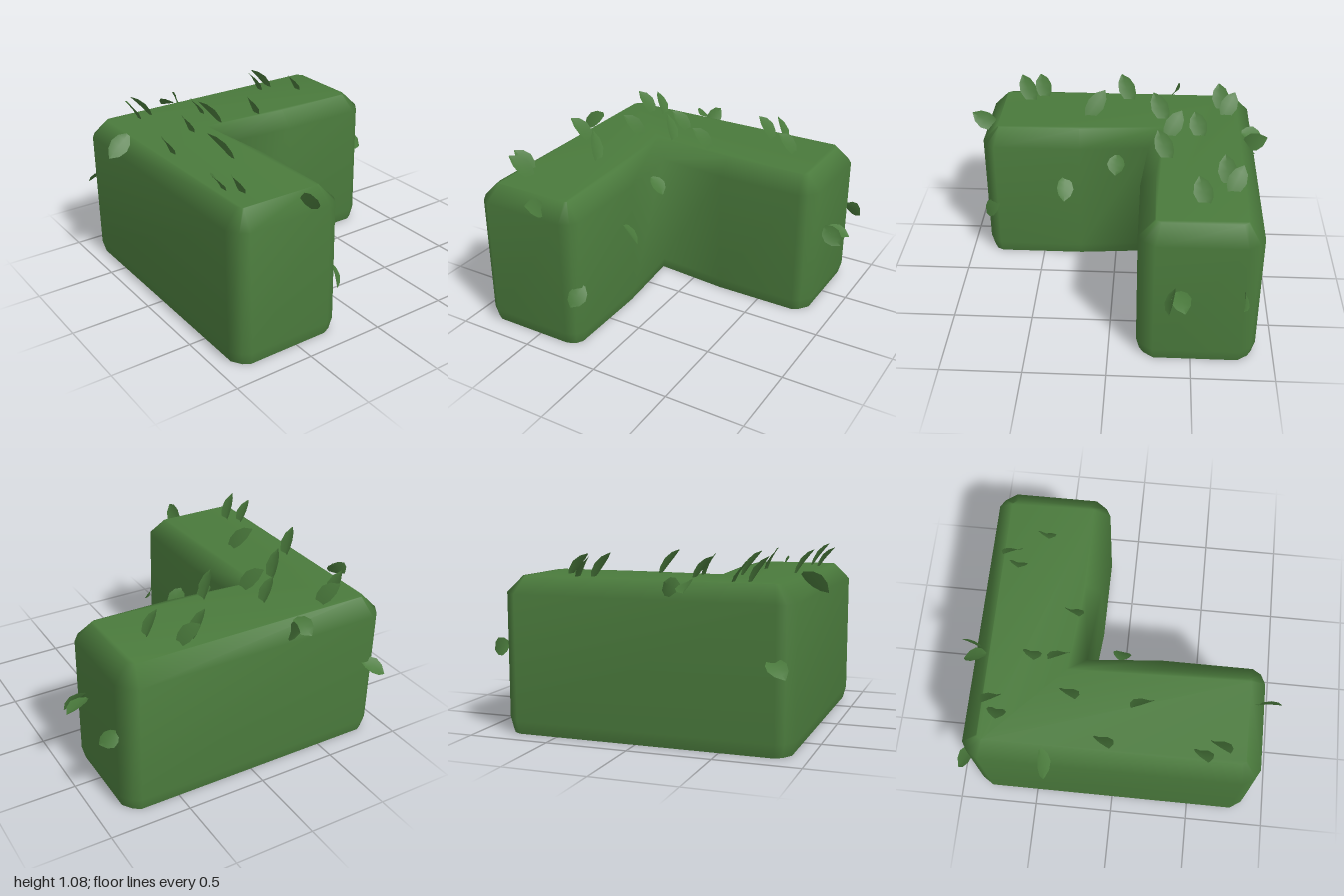
import * as THREE from 'three';

const hedgeGreen = new THREE.MeshStandardMaterial({ color: 0x4a7a3c, side: THREE.DoubleSide });
hedgeGreen.name = 'hedge green';

// L-shaped footprint (x, z)
const outline = [
  [-0.89, -0.75], [-0.86, -0.80], [-0.79, -0.85], [-0.27, -0.85], [-0.20, -0.80], [-0.17, -0.75],
  [-0.17, -0.21], [-0.21, 0.24], [0.24, 0.20], [0.80, 0.20], [0.85, 0.23], [0.88, 0.29],
  [0.88, 0.82], [0.85, 0.87], [0.78, 0.915], [-0.79, 0.915], [-0.86, 0.87], [-0.89, 0.82],
].map(([x, z]) => new THREE.Vector2(x, z));

// Moves every outline point inwards by d along the mitre of its two edges
function inset(points, d) {
  const n = points.length;
  const inward = (a, b) => new THREE.Vector2(-(b.y - a.y), b.x - a.x).normalize();
  return points.map((p, i) => {
    const m = inward(points[(i + n - 1) % n], p).add(inward(p, points[(i + 1) % n]));
    return p.clone().addScaledVector(m, (2 * d) / m.lengthSq());
  });
}

// Stacked rings closed on top, open underneath; shared vertices keep the shading soft
function hedgeGeometry() {
  const rings = [[0, 0.02], [0.08, 0], [0.84, 0], [0.94, 0.095]];
  const n = outline.length;
  const pos = [], index = [];
  for (const [y, d] of rings) for (const p of inset(outline, d)) pos.push(p.x, y, p.y);
  for (let r = 0; r < rings.length - 1; r++) {
    for (let i = 0; i < n; i++) {
      const j = (i + 1) % n;
      const a = r * n + i, b = r * n + j, c = a + n, d = b + n;
      index.push(a, c, b, b, c, d);
    }
  }
  const top = (rings.length - 1) * n;
  for (const [a, b, c] of THREE.ShapeUtils.triangulateShape(outline, [])) {
    index.push(top + a, top + c, top + b);
  }
  return indexedGeometry(pos, index);
}

function indexedGeometry(pos, index) {
  const g = new THREE.BufferGeometry();
  g.setAttribute('position', new THREE.Float32BufferAttribute(pos, 3));
  g.setIndex(index);
  g.computeVertexNormals();
  return g;
}

// Small pointed leaf from base to tip, gently bowed and folded; "up" is the way its face looks
function leafGeometry(base, tip, up) {
  const dir = tip.clone().sub(base);
  const side = dir.clone().cross(up).normalize();
  const face = side.clone().cross(dir).normalize();
  const rows = [[0, 0.014], [0.22, 0.046], [0.5, 0.058], [0.78, 0.042], [1, 0.003]];
  const pos = [], index = [];
  rows.forEach(([t, w], r) => {
    const bow = 0.008 * Math.sin(Math.PI * t);
    for (const s of [-1, 0, 1]) {
      const p = base.clone().addScaledVector(dir, t).addScaledVector(side, s * w)
        .addScaledVector(face, bow + Math.abs(s) * w * 0.2);
      pos.push(p.x, p.y, p.z);
    }
    if (r === 0) return;
    for (let c = 0; c < 2; c++) {
      const a = (r - 1) * 3 + c, b = a + 1, d = a + 3, e = a + 4;
      index.push(a, b, d, b, e, d);
    }
  });
  return indexedGeometry(pos, index);
}

export function createModel() {
  const model = new THREE.Group();
  model.name = 'cornerHedge';

  const hedge = new THREE.Mesh(hedgeGeometry(), hedgeGreen);
  hedge.name = 'hedgeBody';
  model.add(hedge);

  const leaves = new THREE.Group();
  leaves.name = 'leaves';
  model.add(leaves);
  const addLeaf = (name, base, tip, up) => {
    const mesh = new THREE.Mesh(
      leafGeometry(new THREE.Vector3(...base), new THREE.Vector3(...tip), new THREE.Vector3(...up)), hedgeGreen);
    mesh.name = name;
    leaves.add(mesh);
  };

  // Leaves on the top: centre x, centre z, sideways lean, tip height
  const topLeaves = [
    [-0.54, -0.50, 0.025, 1.06], [-0.74, -0.37, -0.04, 1.06], [-0.69, -0.28, 0.015, 1.08],
    [-0.31, 0.00, 0.04, 1.08], [-0.53, 0.29, 0.025, 1.06], [-0.37, 0.28, -0.05, 1.07],
    [-0.28, 0.51, 0.045, 1.08], [-0.74, 0.58, -0.04, 1.06], [-0.69, 0.67, 0.015, 1.08],
    [0.15, 0.53, -0.06, 1.08], [-0.05, 0.78, 0.04, 1.08], [0.53, 0.80, 0.025, 1.06],
    [0.63, 0.74, 0.045, 1.08],
  ];
  for (const [x, z, lean, y] of topLeaves) {
    addLeaf('topLeaf', [x - lean, 0.92, z - 0.05], [x + lean, y, z + 0.055], [Math.sign(lean) * 0.15, 0.6, -0.8]);
  }

  // Leaves on the sides: base, tip, facing
  const sideLeaves = [
    [[-0.82, 0.87, 0.26], [-0.97, 0.95, 0.22], [0.2, 0.4, -0.9]],
    [[-0.81, 0.94, 0.30], [-0.95, 0.89, 0.32], [-0.3, 0.8, -0.4]],
    [[-0.87, 0.54, 0.78], [-0.965, 0.455, 0.895], [-0.6, 0.8, 0.1]],
    [[0.81, 0.86, 0.44], [0.97, 0.96, 0.45], [0, 0.5, -0.9]],
    [[0.79, 0.41, 0.20], [0.89, 0.30, 0.23], [0.5, 0.5, -0.7]],
    [[-0.41, 0.97, 0.85], [-0.38, 0.86, 1.0], [0.8, 0.5, 0.2]],
    [[-0.79, 0.53, -0.84], [-0.78, 0.48, -0.95], [-0.95, 0.3, 0]],
    [[-0.41, 0.53, -0.85], [-0.45, 0.49, -1.0], [0.2, 0.9, 0]],
    [[-0.39, 0.55, -0.85], [-0.36, 0.46, -0.98], [0.8, 0.5, 0]],
    [[-0.01, 0.80, 0.21], [0.00, 0.70, 0.12], [0.1, 0.7, -0.7]],
    [[0.34, 0.62, 0.21], [0.34, 0.50, 0.10], [-0.4, 0.6, -0.7]],
  ];
  for (const [base, tip, up] of sideLeaves) addLeaf('sideLeaf', base, tip, up);

  return model;
}
